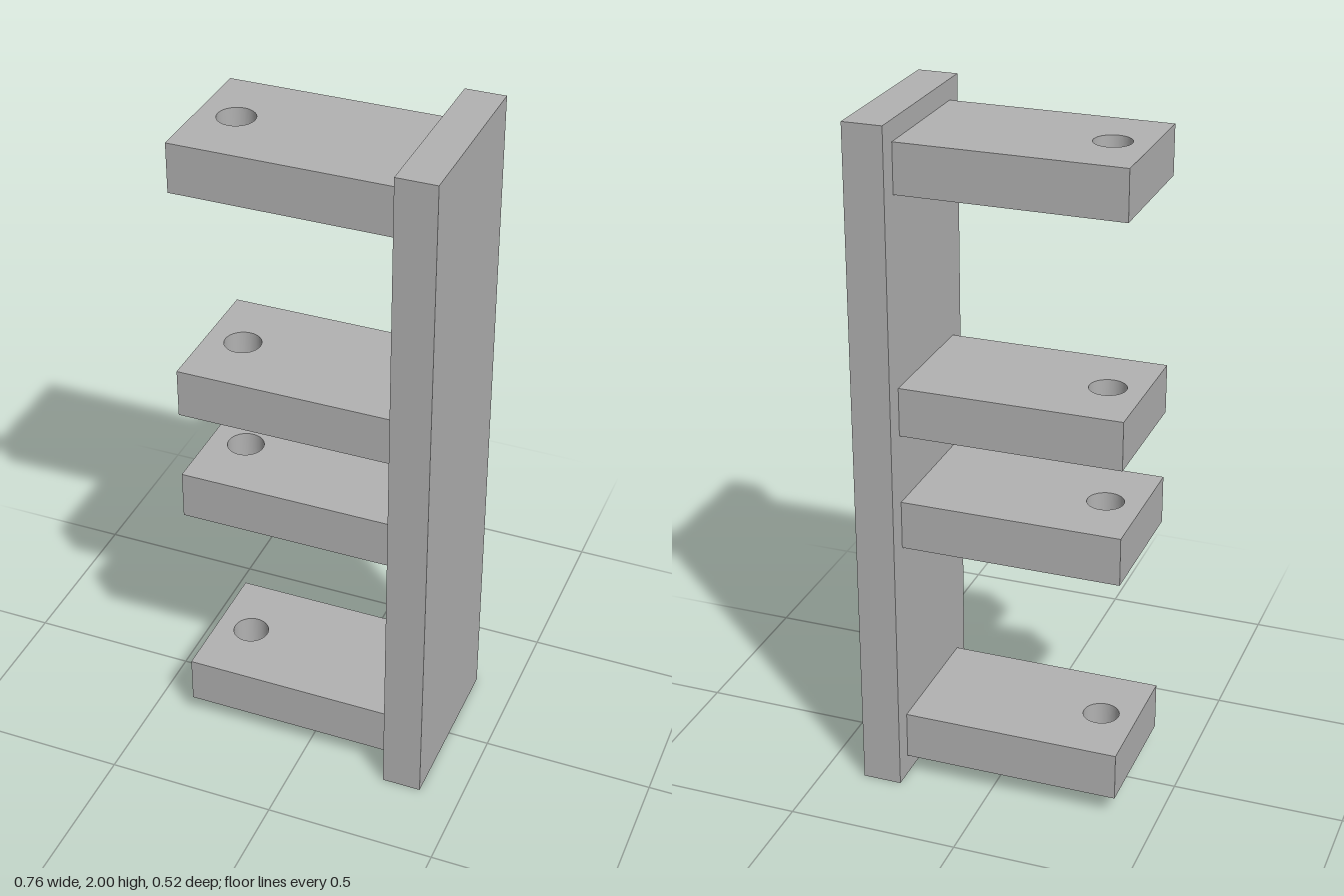
import * as THREE from 'three';

const grey = new THREE.MeshStandardMaterial({ color: 0xb2b2b2 });
grey.name = 'grey';

const ARM_THICKNESS = 0.143;
const ARM_BOTTOMS = [0.06, 0.757, 1.104, 1.798];

// Flat rectangular arm with a round pin hole near its free end
function armGeometry() {
  const x0 = -0.378, x1 = 0.263, z = 0.202;
  const outline = new THREE.Shape();
  outline.moveTo(x0, -z);
  outline.lineTo(x1, -z);
  outline.lineTo(x1, z);
  outline.lineTo(x0, z);
  outline.closePath();

  const hole = new THREE.Path();
  hole.absarc(-0.27, 0, 0.053, 0, Math.PI * 2, true);
  outline.holes.push(hole);

  const geometry = new THREE.ExtrudeGeometry(outline, {
    depth: ARM_THICKNESS, bevelEnabled: false, curveSegments: 48,
  });
  return geometry.rotateX(-Math.PI / 2);
}

export function createModel() {
  const model = new THREE.Group();
  model.name = 'hingeBracket';

  // Upright mounting plate
  const plate = new THREE.Mesh(new THREE.BoxGeometry(0.115, 2, 0.522), grey);
  plate.name = 'mountingPlate';
  plate.position.set(0.3205, 1, 0);
  model.add(plate);

  // Four identical arms in two pairs
  const geometry = armGeometry();
  ARM_BOTTOMS.forEach((y, i) => {
    const arm = new THREE.Mesh(geometry, grey);
    arm.name = `arm${i + 1}`;
    arm.position.y = y;
    model.add(arm);
  });

  return model;
}
